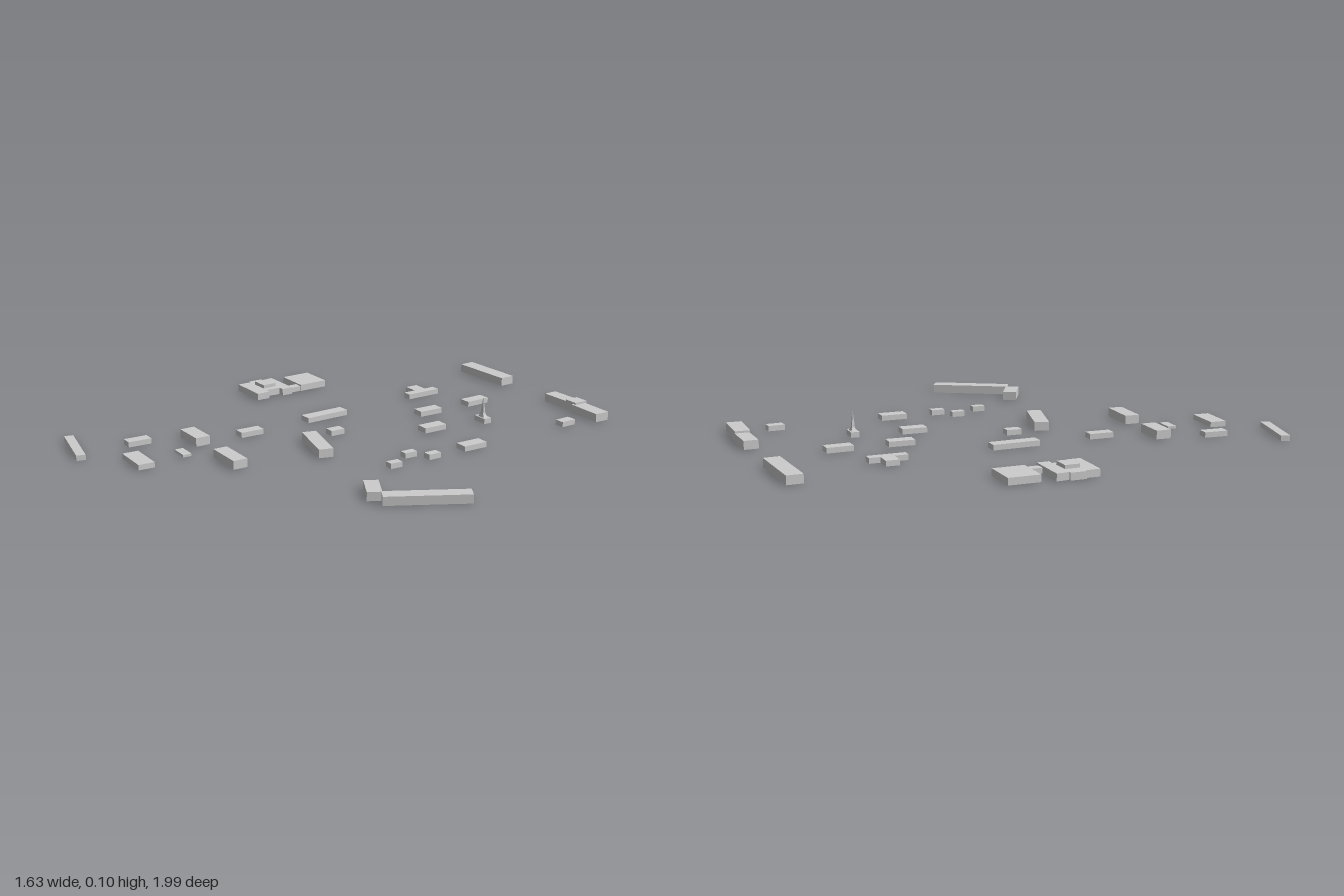
import * as THREE from 'three';

const material = new THREE.MeshStandardMaterial({ color: 0xcccccc, flatShading: true });

export function createModel() {
  const town = new THREE.Group();
  town.name = 'town';

  // Box standing on the ground: centre x, z, width, depth, height, turn in degrees
  function block(name, x, z, w, d, h, turn = 0, base = 0) {
    const mesh = new THREE.Mesh(new THREE.BoxGeometry(w, h - base, d), material);
    mesh.name = name;
    mesh.position.set(x, (h + base) / 2, z);
    mesh.rotation.y = THREE.MathUtils.degToRad(turn);
    town.add(mesh);
  }

  // Small low houses
  const houses = [
    [0.358, -0.786, 0.04, 0.066, 0],
    [-0.075, -0.677, 0.05, 0.105, -1],
    [-0.082, -0.435, 0.05, 0.102, -4],
    [0.093, -0.315, 0.052, 0.1, -3],
    [0.352, -0.3, 0.052, 0.104, -3],
    [0.354, -0.106, 0.034, 0.053, -2],
    [0.29, -0.043, 0.031, 0.053, -4],
    [0.349, 0.072, 0.033, 0.05, -5],
    [-0.094, 0.023, 0.041, 0.06, -3],
    [-0.287, -0.061, 0.051, 0.19, -1],
    [-0.284, 0.3, 0.046, 0.097, -4],
    [-0.443, 0.711, 0.046, 0.095, -5],
    [-0.246, 0.816, 0.15, 0.065, -5],
    [-0.516, 0.942, 0.244, 0.036, -15.7],
  ];
  for (const [x, z, w, d, turn] of houses) block('house', x, z, w, d, 0.021, turn);
  block('shed', -0.237, 0.63, 0.075, 0.035, 0.01, -5);

  // Taller long halls
  const halls = [
    [-0.332, -0.967, 0.272, 0.063, 0],
    [0.149, -0.96, 0.135, 0.057, -1],
    [0.336, -0.941, 0.154, 0.062, -4],
    [0.012, 0.183, 0.219, 0.057, -17.5],
    [-0.344, 0.513, 0.132, 0.06, -3],
    [-0.052, 0.535, 0.161, 0.058, -4],
    [0.704, 0.2, 0.318, 0.057, 58.1],
    [0.537, 0.313, 0.121, 0.055, -30.5],
  ];
  for (const [x, z, w, d, turn] of halls) block('hall', x, z, w, d, 0.034, turn);
  block('hallLink', 0.243, -0.955, 0.06, 0.058, 0.042, -3);

  // T-shaped house
  block('crossHouse', -0.292, -0.567, 0.036, 0.15, 0.021, -2);
  block('crossHouseWing', -0.338, -0.574, 0.065, 0.053, 0.021, -2);

  // Large complex with a notched outline, raised roof and annex
  const outline = [
    [-0.805, -0.146], [-0.637, -0.14], [-0.639, -0.093], [-0.665, -0.093], [-0.667, -0.028],
    [-0.641, -0.026], [-0.643, 0.029], [-0.807, 0.022], [-0.806, -0.035], [-0.817, -0.036],
    [-0.815, -0.098], [-0.803, -0.097],
  ];
  const shape = new THREE.Shape(outline.map(([x, z]) => new THREE.Vector2(x, -z)));
  const complex = new THREE.Mesh(
    new THREE.ExtrudeGeometry(shape, { depth: 0.028, bevelEnabled: false }), material);
  complex.rotation.x = -Math.PI / 2;
  complex.name = 'complex';
  town.add(complex);
  block('complexRoof', -0.728, -0.063, 0.069, 0.058, 0.042, -1, 0.028);
  block('complexLink', -0.669, -0.168, 0.036, 0.056, 0.021, -2);
  block('annex', -0.716, -0.256, 0.143, 0.124, 0.027, -2);

  // Church with a flared four-sided spire
  block('church', 0.132, -0.546, 0.065, 0.034, 0.021, -4);
  const profile = [[0.026, 0.021], [0.013, 0.034], [0.01, 0.052], [0.005, 0.078], [0, 0.1]]
    .map(([r, y]) => new THREE.Vector2(r, y));
  const spireGeometry = new THREE.LatheGeometry(profile, 4).rotateY(Math.PI / 4);
  const spire = new THREE.Mesh(spireGeometry, material);
  spire.name = 'spire';
  spire.position.set(0.132, 0, -0.546);
  spire.scale.z = 0.6;
  spire.rotation.y = THREE.MathUtils.degToRad(-4);
  town.add(spire);

  return town;
}
